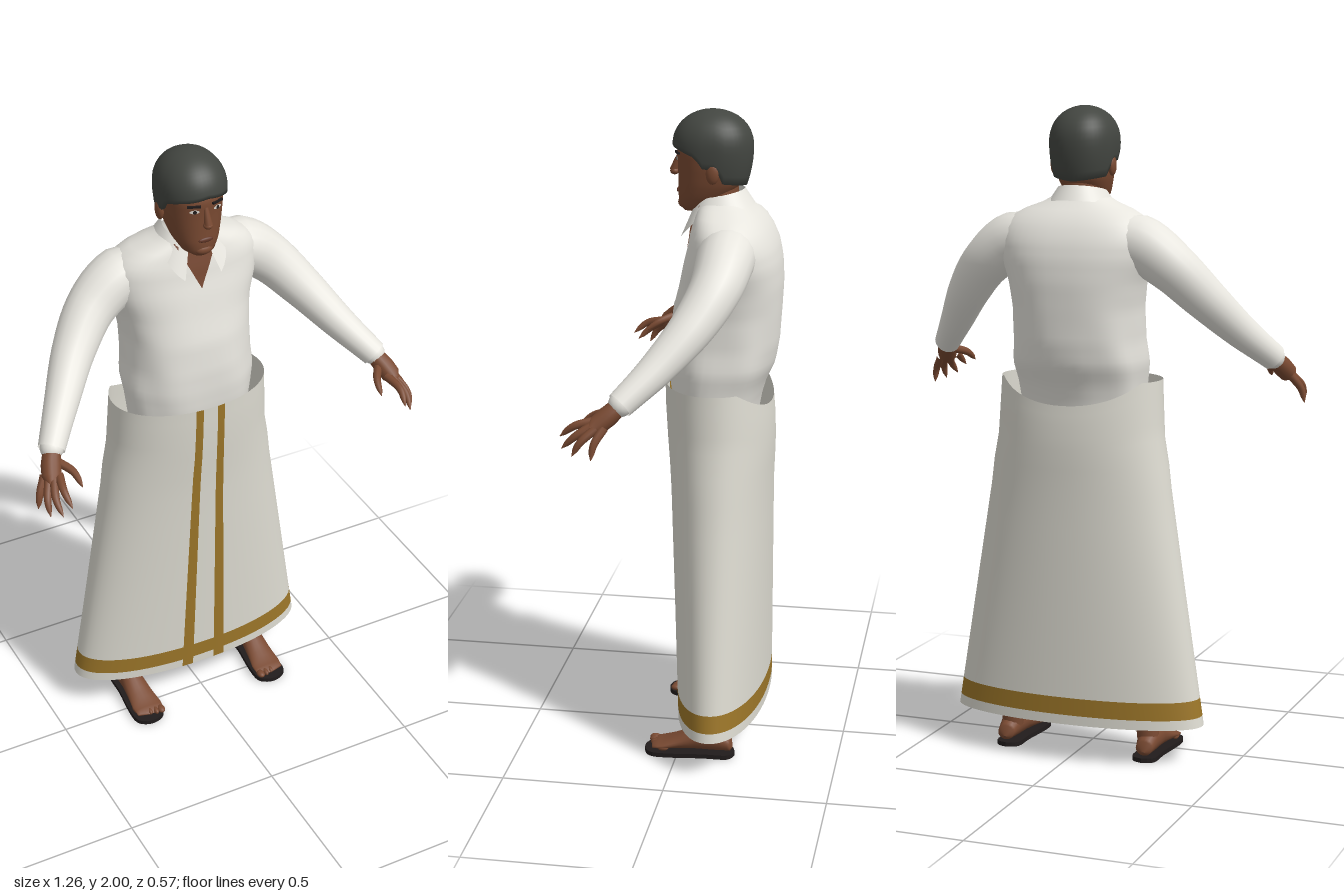
import * as THREE from 'three';

const mat = (name, color, side = THREE.FrontSide) => {
  const m = new THREE.MeshStandardMaterial({ color, side });
  m.name = name;
  return m;
};
const power = (c, e) => Math.sign(c) * Math.abs(c) ** (2 / e);

// Linear interpolation in rows of [key, a, b, c...]
function lookup(rows, k) {
  let i = 0;
  while (i < rows.length - 2 && k > rows[i + 1][0]) i++;
  const [p, q] = [rows[i], rows[i + 1]];
  const t = THREE.MathUtils.clamp((k - p[0]) / (q[0] - p[0]), 0, 1);
  return p.map((v, n) => v + (q[n] - v) * t);
}

// Surface from fn(u, v) over two value lists; pick(u, v) sorts cells into material groups
function grid(us, vs, fn, wrap, pick = () => 0) {
  const n = us.length, pos = [], cells = [[], []];
  for (const v of vs) for (const u of us) pos.push(...fn(u, v));
  for (let j = 0; j < vs.length - 1; j++) for (let i = 0; i < (wrap ? n : n - 1); i++) {
    const k = (i + 1) % n, a = j * n + i, b = j * n + k, c = b + n, d = a + n;
    cells[pick(us[i], vs[j])].push(a, b, c, a, c, d);
  }
  const g = new THREE.BufferGeometry();
  g.setAttribute('position', new THREE.Float32BufferAttribute(pos, 3));
  g.setIndex([...cells[0], ...cells[1]]);
  if (cells[1].length) {
    g.addGroup(0, cells[0].length, 0);
    g.addGroup(cells[0].length, cells[1].length, 1);
  }
  g.computeVertexNormals();
  return g;
}
const steps = (a, b, n) => Array.from({ length: n + 1 }, (_, i) => a + (b - a) * i / n);
const around = n => steps(0, Math.PI * 2, n).slice(0, n);

// Upright body from rows of [y, halfWidth, zFront, zBack]
const bodyPoint = (rows, e) => (a, y) => {
  const [, rx, zf, zb] = lookup(rows, y);
  return [rx * power(Math.sin(a), e), y, (zf + zb) / 2 + (zf - zb) / 2 * power(Math.cos(a), e)];
};
const frontZ = (rows, e, x, y) => {
  const [, rx, zf, zb] = lookup(rows, y);
  return (zf + zb) / 2 + (zf - zb) / 2 * Math.max(0, 1 - Math.abs(x / rx) ** e) ** (1 / e);
};

// Tube along a curve whose radius follows a list
function limb(points, radii, n = 16, sides = 14) {
  const curve = new THREE.CatmullRomCurve3(points.map(p => new THREE.Vector3(...p)));
  const g = new THREE.TubeGeometry(curve, n, 1, sides), pos = g.attributes.position;
  const rows = radii.map((r, i) => [i / (radii.length - 1), r]), v = new THREE.Vector3();
  for (let i = 0; i <= n; i++) {
    const c = curve.getPointAt(i / n), r = lookup(rows, i / n)[1];
    for (let j = 0; j <= sides; j++) {
      const k = i * (sides + 1) + j;
      v.fromBufferAttribute(pos, k).sub(c).multiplyScalar(r).add(c);
      pos.setXYZ(k, v.x, v.y, v.z);
    }
  }
  return g;
}

const TORSO = [[1.0, .18, .03, -.2], [1.12, .195, .045, -.22], [1.17, .2, .052, -.235], [1.23, .208, .056, -.262],
  [1.3, .2, .055, -.275], [1.4, .2, .045, -.282], [1.48, .212, .025, -.285], [1.55, .235, .01, -.28], [1.6, .242, -.003, -.268],
  [1.64, .235, -.01, -.25], [1.67, .21, -.018, -.23], [1.695, .165, -.024, -.205], [1.72, .095, -.03, -.175], [1.75, .06, -.04, -.15]];
const HEAD = [[1.69, .002, -.01, -.014], [1.695, .028, .018, -.05], [1.71, .05, .03, -.08], [1.74, .068, .034, -.12],
  [1.78, .08, .034, -.155], [1.83, .088, .035, -.17], [1.88, .092, .038, -.175], [1.93, .086, .02, -.165], [1.96, .06, -.01, -.14]];
const SKIRT = [[.12, .405, .02, -.255], [.84, .29, .05, -.26], [.92, .28, .055, -.263], [1.0, .265, .062, -.265],
  [1.1, .259, .068, -.263], [1.18, .255, .07, -.258]];
const FOOT = [[-.174, .002, .032, .03], [-.168, .026, .065, .02], [-.12, .035, .1, .018], [-.06, .037, .095, .018],
  [0, .043, .062, .018], [.045, .05, .042, .018], [.075, .046, .034, .018], [.085, .004, .025, .022]];

export function createModel() {
  const model = new THREE.Group();
  const shirt = mat('white shirt', 0xebe9e2, THREE.DoubleSide), cloth = mat('cream cloth', 0xdddbd1, THREE.DoubleSide);
  const gold = mat('gold border', 0x9c7629, THREE.DoubleSide), skin = mat('brown skin', 0x7a4a32);
  const hair = mat('dark grey hair', 0x434641, THREE.DoubleSide), dark = mat('black sole', 0x211c1c);
  const white = mat('eye white', 0xd8d4cc), lip = mat('lips', 0x643829);
  const chest = mat('chest skin', 0x744630, THREE.DoubleSide);
  const add = (name, g, m, p = [0, 0, 0], s = [1, 1, 1]) => {
    const o = new THREE.Mesh(g, m);
    o.name = name;
    o.position.set(...p);
    o.scale.set(...s);
    model.add(o);
    return o;
  };
  const ball = new THREE.SphereGeometry(1, 16, 12);

  // Wrapped skirt with gold hem band and two front stripes
  const edges = [.085, .175].map(Math.asin);
  const angles = [-edges[1], -edges[0], ...edges, ...steps(edges[1], Math.PI * 2 - edges[1], 56).slice(1, -1)];
  const rows = [.12, .15, .205, ...steps(.205, .84, 6).slice(1), .92, 1.0, 1.05, 1.1, 1.14, 1.18];
  const skirtAt = bodyPoint(SKIRT, 2.1);
  add('wrappedSkirt', grid(angles, rows, (a, y) => {
    const p = skirtAt(a, y);
    const back = Math.max(0, -Math.cos(a) - .5) / .5;
    p[1] -= .07 * back * Math.max(0, (y - .9) / .28);
    return p;
  }, true, (a, y) => (y === .15 || Math.abs(a + edges[1]) < 1e-6 || Math.abs(a - edges[0]) < 1e-6 ? 1 : 0)), [cloth, gold]);

  // Shirt body with soft folds gathered at the waist
  const torsoAt = bodyPoint(TORSO, 2.4);
  add('shirtBody', grid(around(48), steps(1.0, 1.75, 40), (a, y) => {
    const p = torsoAt(a, y), f = 1 + .014 * Math.sin(a * 7 + y * 9) * THREE.MathUtils.clamp((1.45 - y) / .2, 0, 1);
    return [p[0] * f, y, -.11 + (p[2] + .11) * f];
  }, true), shirt);

  // Open neck: skin patch following the shirt front
  add('openNeck', grid(steps(-1, 1, 8), steps(1.575, 1.72, 10), (s, y) => {
    const x = s * .062 * (y - 1.575) / .13;
    return [x, y, frontZ(TORSO, 2.4, x, y) + .006];
  }), chest);

  // Collar: flared band, open at the front with pointed ends
  add('collar', grid(steps(-2.72, 2.72, 36), [0, .4, 1], (b, v) => {
    const f = (1 - Math.cos(b)) / 2, tip = Math.max(0, Math.abs(b) - 1.9) / .82;
    const r = .074 + .03 * v + .012 * tip * v;
    return [-Math.sin(b) * r * (1 + .25 * tip * v), 1.765 - .03 * f - .02 * tip - v * (.045 + .05 * tip), -.09 - Math.cos(b) * (r + .003)];
  }), shirt);

  // Head and neck
  add('neck', new THREE.CylinderGeometry(.06, .066, .14, 24), skin, [0, 1.7, -.088]);
  add('head', grid(around(36), [1.69, 1.695, 1.702, ...steps(1.71, 1.96, 20)], bodyPoint(HEAD, 2.25), true), skin);
  add('noseBridge', limb([[0, 1.862, .032], [0, 1.835, .042], [0, 1.812, .05]], [.007, .01, .013], 6, 10), skin);
  add('noseTip', ball, skin, [0, 1.81, .047], [.015, .011, .014]);
  add('mouth', ball, lip, [0, 1.755, .033], [.024, .008, .006]);
  add('chin', ball, skin, [0, 1.718, .018], [.03, .018, .018]);

  // Hair cap whose lower edge dips at the sideburns and nape
  const HAIRLINE = [[0, 1.9], [.8, 1.885], [1.25, 1.87], [1.45, 1.835], [1.75, 1.835], [1.95, 1.79], [3.15, 1.775]];
  add('hair', grid(around(48), [-.01, ...steps(0, 1, 14)], (a, v) => {
    const low = lookup(HAIRLINE, a > Math.PI ? Math.PI * 2 - a : a)[1];
    const y = low + (2 - low) * Math.sin(Math.max(v, 0) * Math.PI / 2);
    let r = y > 1.89 ? Math.max(0, 1 - ((y - 1.89) / .11) ** 2.2) ** .5 : 1 - 12 * (1.89 - y) ** 2;
    if (v < 0) r *= .84;
    return [.104 * r * power(Math.sin(a), 2.15), y, -.07 + .122 * r * power(Math.cos(a), 2.15)];
  }, true), hair);

  for (const s of [1, -1]) {
    const side = s > 0 ? 'left' : 'right';
    const part = (n, ...rest) => add(side + n, ...rest);

    // Eyes, brows and ears
    const ez = frontZ(HEAD, 2.25, .037, 1.856);
    const disc = new THREE.CircleGeometry(1, 16);
    part('EyeWhite', disc, white, [s * .037, 1.856, ez + .004], [.015, .006, 1]).rotation.y = s * .35;
    part('Iris', disc, dark, [s * .037, 1.856, ez + .006], [.006, .006, 1]).rotation.y = s * .35;
    part('Brow', new THREE.BoxGeometry(.04, .006, .008), dark, [s * .038, 1.873, ez + .002]).rotation.y = s * .35;
    part('Ear', ball, skin, [s * .093, 1.822, -.082], [.012, .032, .02]);

    // Sleeve
    part('Sleeve', limb([[s * .13, 1.605, -.14], [s * .21, 1.59, -.14], [s * .3, 1.525, -.125], [s * .385, 1.43, -.07],
      [s * .47, 1.325, .02], [s * .548, 1.237, .112]], [.07, .088, .082, .075, .07, .064, .058, .052, .046, .041], 28, 18), shirt);
    part('CuffEnd', ball, shirt, [s * .546, 1.239, .11], [.036, .036, .036]);

    // Hand: wrist, palm and fingers
    part('Palm', limb([[s * .535, 1.25, .1], [s * .56, 1.215, .135], [s * .58, 1.178, .18], [s * .588, 1.165, .198]],
      [.026, .028, .031, .029, .004], 12), skin);
    [[[.556, 1.19, .18], [.568, 1.175, .24], [.562, 1.14, .285]],
      [[.572, 1.185, .18], [.592, 1.15, .235], [.588, 1.112, .275]],
      [[.585, 1.18, .17], [.61, 1.14, .215], [.613, 1.098, .24]],
      [[.59, 1.18, .15], [.618, 1.135, .175], [.627, 1.092, .182]],
      [[.548, 1.212, .14], [.515, 1.195, .19], [.506, 1.165, .235]]].forEach((f, i) =>
      part(i < 4 ? 'Finger' + (i + 1) : 'Thumb', limb(f.map(([x, y, z]) => [s * x, y, z]), [.014, .013, .0125, .011, .009, .001], 12, 8), skin));

    // Leg, foot, toes and sandal sole
    part('Leg', limb([[s * .228, .06, -.118], [s * .222, .14, -.118], [s * .205, .4, -.12], [s * .17, .7, -.11], [s * .13, 1.0, -.1]],
      [.034, .038, .05, .055, .058, .065, .07], 20), skin);
    part('Foot', grid(around(20), [-.174, -.168, ...steps(-.16, .075, 14), .085], (a, z) => {
      const [, rx, top, low] = lookup(FOOT, z);
      return [s * (.226 - .03 * z) + rx * Math.cos(a), (top + low) / 2 + (top - low) / 2 * Math.sin(a), z];
    }, true), skin);
    for (let i = 0; i < 5; i++)
      part('Toe' + (i + 1), ball, skin, [s * (.188 + i * .019), .026, .078 - i * i * .0022], [i ? .009 : .013, .01, .018]);
    const outline = new THREE.Shape();
    outline.setFromPoints(new THREE.SplineCurve([[0, .18], [-.036, .16], [-.04, .08], [-.052, -.03], [-.045, -.085], [0, -.105],
      [.045, -.085], [.052, -.03], [.04, .08], [.036, .16], [0, .18]].map(p => new THREE.Vector2(...p))).getPoints(40));
    const sole = new THREE.ExtrudeGeometry(outline, { depth: .014, bevelEnabled: false });
    sole.rotateX(-Math.PI / 2).scale(1, 1, -1).rotateZ(Math.PI).translate(0, .014, 0).rotateY(Math.PI);
    // Half turns leave the heel behind; the reflected faces are re-wound here
    const p = sole.attributes.position;
    const flipped = new THREE.BufferGeometry();
    const data = [];
    for (let i = 0; i < p.count; i += 3) for (const k of [i, i + 2, i + 1]) data.push(p.getX(k), p.getY(k), p.getZ(k));
    flipped.setAttribute('position', new THREE.Float32BufferAttribute(data, 3));
    flipped.computeVertexNormals();
    part('SandalSole', flipped, dark, [s * .227, 0, 0]);
  }
  return model;
}
